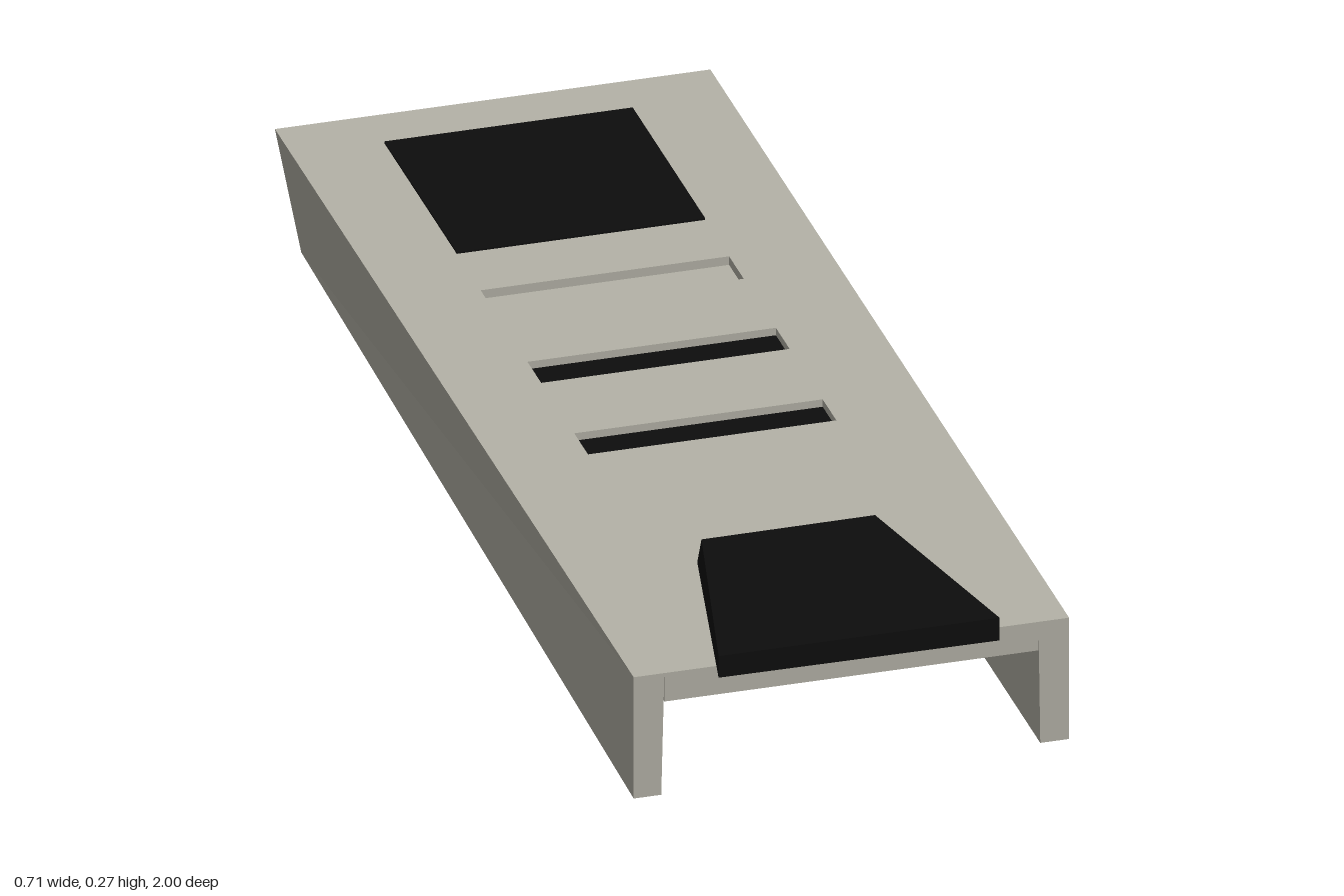
import * as THREE from 'three';

const shell = new THREE.MeshStandardMaterial({ color: 0xb4b2a7 });
shell.name = 'warm grey shell';
const black = new THREE.MeshStandardMaterial({ color: 0x0d0d0d });
black.name = 'black';

// Flat-sided block lofted between two [x, y, z] loops; both run anticlockwise seen from the front
function loft(front, back) {
  const pos = [];
  const n = front.length;
  const tri = (a, b, c) => pos.push(...a, ...b, ...c);
  for (let i = 0; i < n; i++) {
    const j = (i + 1) % n;
    tri(front[i], back[i], back[j]);
    tri(front[i], back[j], front[j]);
    if (i > 0 && i < n - 1) {
      tri(front[0], front[i], front[i + 1]);
      tri(back[0], back[i + 1], back[i]);
    }
  }
  const g = new THREE.BufferGeometry();
  g.setAttribute('position', new THREE.Float32BufferAttribute(pos, 3));
  g.computeVertexNormals();
  return g;
}

const section = (points, z) => points.map(([x, y]) => [x, y, z]);

export function createModel() {
  const model = new THREE.Group();
  model.name = 'channelHousing';
  const add = (name, geometry, material, x = 0, y = 0, z = 0) => {
    const mesh = new THREE.Mesh(geometry, material);
    mesh.name = name;
    mesh.position.set(x, y, z);
    model.add(mesh);
  };

  const zFront = 0.955, zBack = -1, top = 0.223, under = 0.173;
  const recess = 0.015, inner = 0.305;
  const length = zFront - zBack, mid = (zFront + zBack) / 2;

  // Side walls; the right one leans in to a point at the back
  const left = [[0.308, 0.01], [0.355, 0.01], [0.355, top], [inner, top]];
  const right = [[-0.355, 0.01], [-0.31, 0.01], [-inner, top], [-0.355, top]];
  const rightBack = [[-0.312, 0], [-0.31, 0], [-inner, top], [-0.355, top]];
  add('leftWall', loft(section(left, zFront), section(left, zBack)), shell);
  add('rightWall', loft(section(right, zFront), section(rightBack, zBack)), shell);

  // Deck: a slab below, and a top skin cut with three shallow slots
  const slabHeight = top - recess - under;
  add('deckSlab', new THREE.BoxGeometry(inner * 2, slabHeight, length), shell,
    0, under + slabHeight / 2, mid);

  const rect = (P, x0, x1, z0, z1) => {
    const p = new P();
    p.moveTo(x0, -z1);
    p.lineTo(x1, -z1);
    p.lineTo(x1, -z0);
    p.lineTo(x0, -z0);
    p.closePath();
    return p;
  };
  const slots = [[-0.38, -0.3, false], [-0.125, -0.05, true], [0.13, 0.205, true]];
  const skin = rect(THREE.Shape, -inner, inner, zBack, zFront);
  for (const [z0, z1] of slots) skin.holes.push(rect(THREE.Path, -0.205, 0.2, z0, z1));
  const skinGeometry = new THREE.ExtrudeGeometry(skin, { depth: recess, bevelEnabled: false });
  skinGeometry.rotateX(-Math.PI / 2);
  add('deckSkin', skinGeometry, shell, 0, top - recess, 0);

  // Black floors in two of the slots
  for (const [z0, z1, filled] of slots) {
    if (!filled) continue;
    add('slotFloor', new THREE.BoxGeometry(0.405, 0.002, z1 - z0), black,
      -0.0025, top - recess + 0.001, (z0 + z1) / 2);
  }

  // Square panel at the back
  add('backPanel', new THREE.BoxGeometry(0.405, 0.004, 0.395), black, -0.0025, top + 0.001, -0.7075);

  // Tapered tab overhanging the front
  add('frontTab', loft(
    [[-0.23, 0.226, 1], [0.228, 0.224, 1], [0.228, 0.264, 1], [-0.23, 0.264, 1]],
    [[-0.147, 0.222, 0.606], [0.145, 0.222, 0.606], [0.14, 0.268, 0.616], [-0.143, 0.267, 0.616]]
  ), black);

  return model;
}
